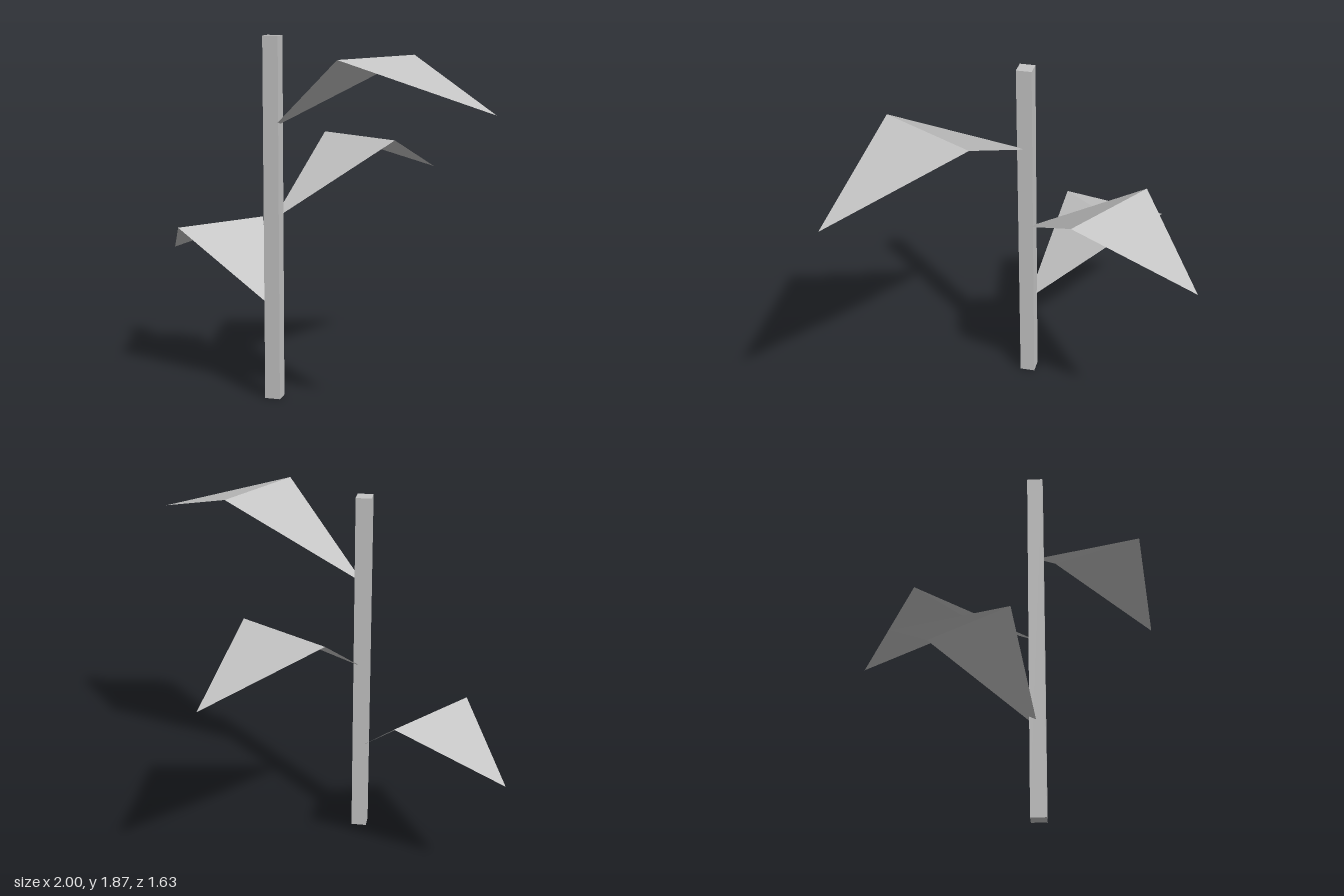
import * as THREE from 'three';

const STEM = { x: -0.21, z: 0.175, width: 0.08, height: 1.87 };

// A folded leaf: one triangle rising from the stem to the fold, one dropping to the tip
function makeLeaf(name, baseY, foldA, foldB, tip, material) {
  const base = [STEM.x, baseY, STEM.z];
  const a = [foldA[0], baseY + 0.38, foldA[1]];
  const b = [foldB[0], baseY + 0.38, foldB[1]];
  const end = [tip[0], baseY + 0.16, tip[1]];
  const geometry = new THREE.BufferGeometry();
  geometry.setAttribute('position', new THREE.Float32BufferAttribute(
    [base, b, a, a, b, end].flat(), 3));
  geometry.computeVertexNormals();
  const leaf = new THREE.Mesh(geometry, material);
  leaf.name = name;
  return leaf;
}

export function createModel() {
  const group = new THREE.Group();
  group.name = 'plant';
  const grey = new THREE.MeshStandardMaterial({ color: 0xc4c4c4, flatShading: true, side: THREE.DoubleSide });
  grey.name = 'light grey';

  // Square stem
  const stem = new THREE.Mesh(new THREE.BoxGeometry(STEM.width, STEM.height, STEM.width), grey);
  stem.position.set(STEM.x, STEM.height / 2, STEM.z);
  stem.name = 'stem';
  group.add(stem);

  // Leaves spiral up the stem: base height, two fold corners (x, z), tip (x, z)
  const leaves = [
    ['lowerLeaf', 0.47, [-0.44, -0.35], [-0.77, 0.08], [-1.0, -0.44]],
    ['middleLeaf', 0.94, [0.34, -0.18], [-0.115, -0.47], [0.43, -0.815]],
    ['upperLeaf', 1.41, [0.27, 0.735], [0.525, 0.255], [1.0, 0.815]],
  ];
  for (const [name, y, a, b, tip] of leaves) group.add(makeLeaf(name, y, a, b, tip, grey));
  return group;
}
